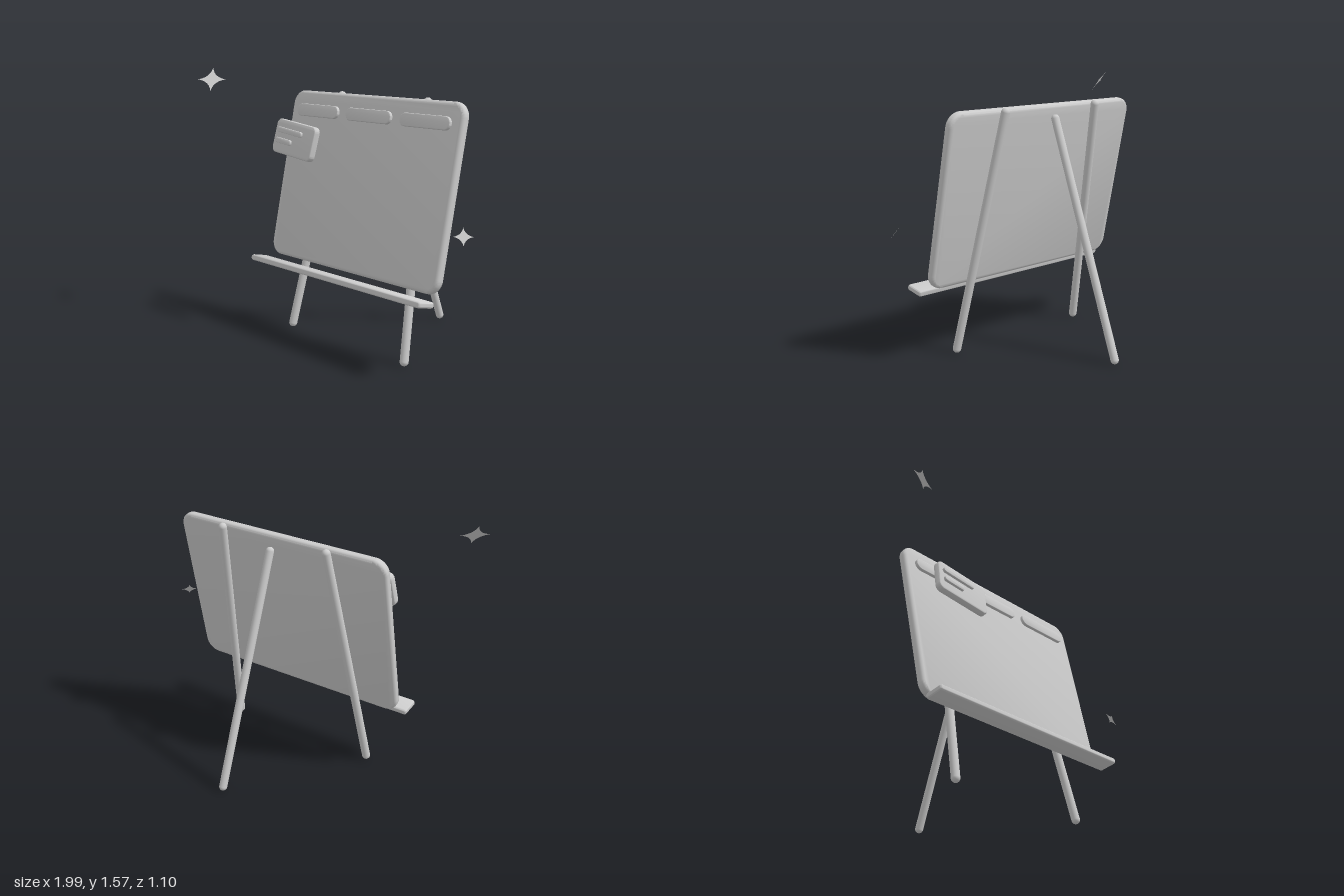
import * as THREE from 'three';
import { toCreasedNormals } from 'three/addons/utils/BufferGeometryUtils.js';

const TILT = -0.21; // lean of the board, tray and card
const CX = 0.0475; // middle of the easel

// Rounded rectangular slab with softened edges, centred on its origin
function slab(name, w, h, t, r, bevel, material) {
  const x = w / 2 - bevel, y = h / 2 - bevel, c = Math.max(r - bevel, 0.001);
  const s = new THREE.Shape();
  s.absarc(x - c, y - c, c, 0, Math.PI / 2);
  s.absarc(-x + c, y - c, c, Math.PI / 2, Math.PI);
  s.absarc(-x + c, -y + c, c, Math.PI, Math.PI * 1.5);
  s.absarc(x - c, -y + c, c, Math.PI * 1.5, Math.PI * 2);
  const g = new THREE.ExtrudeGeometry(s, {
    depth: t - 2 * bevel, bevelEnabled: true, bevelSize: bevel,
    bevelThickness: bevel, bevelSegments: 4, curveSegments: 10,
  });
  g.translate(0, 0, -t / 2 + bevel);
  const mesh = new THREE.Mesh(toCreasedNormals(g, 0.6), material);
  mesh.name = name;
  return mesh;
}

// Round-ended rod between two points
function rod(name, from, to, r, material) {
  const a = new THREE.Vector3(...from), b = new THREE.Vector3(...to);
  const dir = b.clone().sub(a);
  const mesh = new THREE.Mesh(new THREE.CapsuleGeometry(r, dir.length(), 8, 20), material);
  mesh.position.copy(a).add(b).multiplyScalar(0.5);
  mesh.quaternion.setFromUnitVectors(new THREE.Vector3(0, 1, 0), dir.normalize());
  mesh.name = name;
  return mesh;
}

// Flat four-pointed star turned diagonally upward
function sparkle(name, pos, r, material) {
  const s = new THREE.Shape(), k = r * 0.15;
  s.moveTo(r, 0);
  s.quadraticCurveTo(k, k, 0, r);
  s.quadraticCurveTo(-k, k, -r, 0);
  s.quadraticCurveTo(-k, -k, 0, -r);
  s.quadraticCurveTo(k, -k, r, 0);
  const mesh = new THREE.Mesh(new THREE.ShapeGeometry(s, 10), material);
  mesh.position.set(...pos);
  mesh.lookAt(pos[0] + 1, pos[1] + 1.1, pos[2] + 1);
  mesh.name = name;
  return mesh;
}

export function createModel() {
  const grey = new THREE.MeshStandardMaterial({ color: 0xcccccc, side: THREE.DoubleSide });
  grey.name = 'light grey';
  const model = new THREE.Group();
  model.name = 'easel';

  // Splayed front legs and the rear prop
  for (const side of [-1, 1]) {
    model.add(rod(side < 0 ? 'rightLeg' : 'leftLeg',
      [CX + side * 0.4925, 0.027, 0.261], [CX + side * 0.3625, 1.415, -0.035], 0.025, grey));
  }
  model.add(rod('rearLeg', [CX, 0.027, -0.527], [CX, 1.356, -0.06], 0.024, grey));

  // Leaning board with everything mounted parallel to it
  const panel = new THREE.Group();
  panel.name = 'panel';
  panel.position.set(CX, 0.932, 0.125);
  panel.rotation.x = TILT;
  model.add(panel);
  panel.add(slab('board', 1.435, 1.025, 0.055, 0.085, 0.02, grey));

  // Column header pills
  for (let i = -1; i <= 1; i++) {
    const pill = slab('headerPill', 0.38, 0.075, 0.022, 0.0375, 0.006, grey);
    pill.position.set(i * 0.4535, 0.391, 0.035);
    panel.add(pill);
  }

  // Floating note card with two raised lines
  const card = new THREE.Group();
  card.name = 'noteCard';
  card.position.set(-0.408 - CX, 0.196, 0.17);
  card.rotation.z = -0.095;
  card.add(slab('cardBody', 0.375, 0.206, 0.042, 0.035, 0.01, grey));
  for (const [x, y, w] of [[-0.039, 0.038, 0.238], [-0.08, -0.026, 0.15]]) {
    const line = slab('cardLine', w, 0.032, 0.018, 0.016, 0.004, grey);
    line.position.set(x, y, 0.027);
    card.add(line);
  }
  panel.add(card);

  // Tray below the board
  const tray = slab('tray', 1.475, 0.036, 0.118, 0.016, 0.014, grey);
  tray.position.set(CX, 0.409, 0.338);
  tray.rotation.x = TILT;
  model.add(tray);

  // Sparkles in the air
  model.add(sparkle('largeSparkle', [-0.936, 1.505, 0.483], 0.087, grey));
  model.add(sparkle('smallSparkle', [0.956, 0.786, 0.257], 0.054, grey));
  return model;
}
